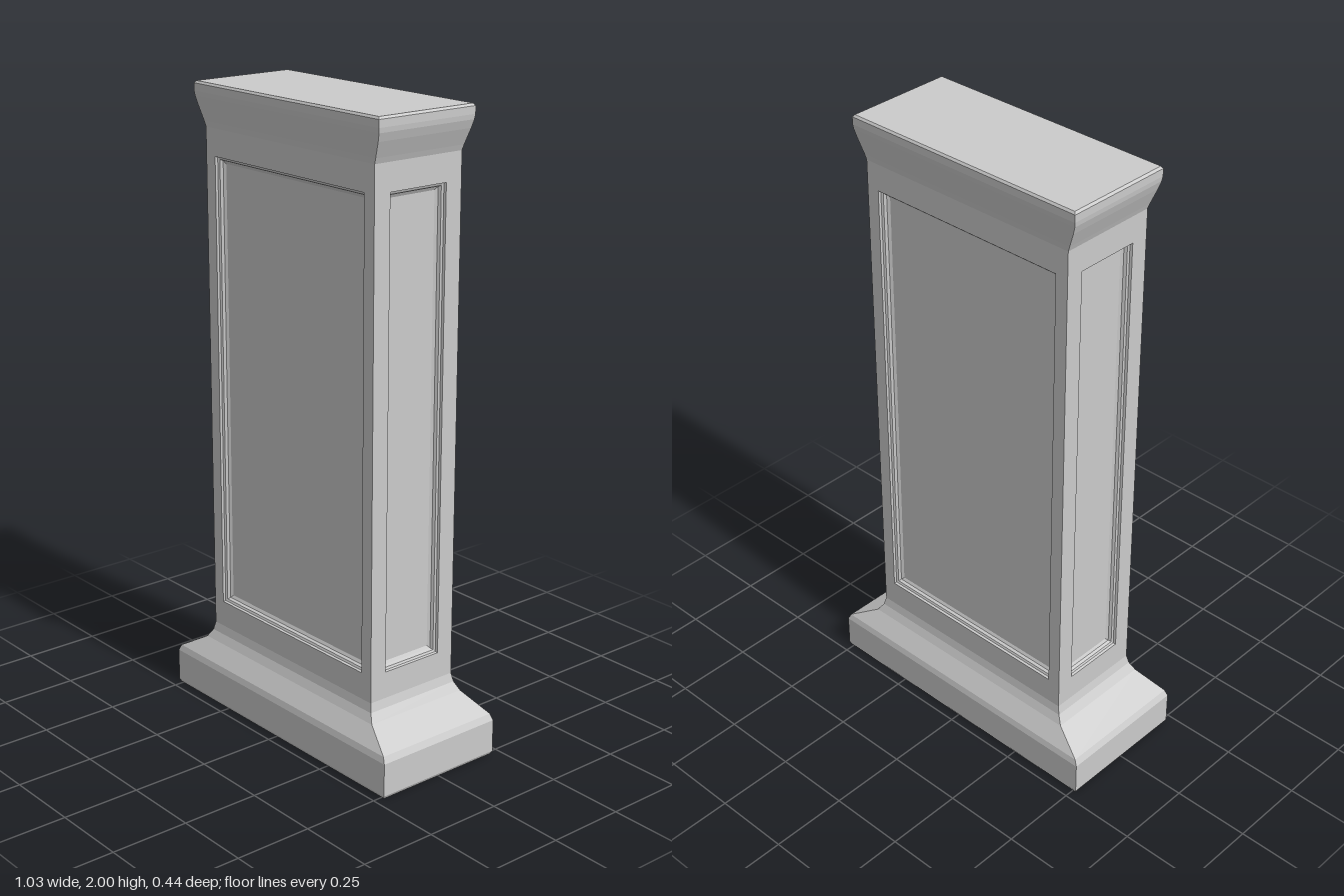
import * as THREE from 'three';

const material = new THREE.MeshStandardMaterial({ color: 0xcccccc, flatShading: true });

// Skin over a stack of rectangles [halfWidth, halfHeight, depth], facing +z.
function loftRects(rings, capStart, capEnd) {
  const positions = [];
  const corners = ([u, v, d]) => [[-u, -v, d], [u, -v, d], [u, v, d], [-u, v, d]];
  const quad = (a, b, c, d) => positions.push(...a, ...b, ...c, ...a, ...c, ...d);
  for (let i = 0; i < rings.length - 1; i++) {
    const a = corners(rings[i]), b = corners(rings[i + 1]);
    for (let k = 0; k < 4; k++) {
      const n = (k + 1) % 4;
      quad(a[k], a[n], b[n], b[k]);
    }
  }
  if (capStart) quad(...corners(rings[0]).reverse());
  if (capEnd) quad(...corners(rings[rings.length - 1]));
  const geometry = new THREE.BufferGeometry();
  geometry.setAttribute('position', new THREE.Float32BufferAttribute(positions, 3));
  geometry.computeVertexNormals();
  return geometry;
}

function addMesh(parent, name, geometry) {
  const mesh = new THREE.Mesh(geometry, material);
  mesh.name = name;
  parent.add(mesh);
  return mesh;
}

const SHAFT = { x: 0.385, z: 0.163, bottom: 0.245, top: 1.865 };

export function createModel() {
  const group = new THREE.Group();
  group.name = 'pedestal';

  // Moulded foot: half width, half depth, height
  const base = [
    [0.51, 0.217, 0], [0.515, 0.222, 0.01], [0.515, 0.222, 0.115],
    [0.505, 0.217, 0.135], [0.41, 0.18, 0.19], [0.392, 0.168, 0.217],
    [SHAFT.x, SHAFT.z, SHAFT.bottom],
  ];
  addMesh(group, 'base', loftRects(base, true, false).rotateX(-Math.PI / 2));

  // Flared cap
  const cap = [
    [SHAFT.x, SHAFT.z, SHAFT.top], [0.391, 0.165, 1.882], [0.41, 0.173, 1.93],
    [0.418, 0.177, 1.955], [0.42, 0.179, 1.97], [0.42, 0.179, 1.993], [0.414, 0.174, 2],
  ];
  addMesh(group, 'cap', loftRects(cap, false, true).rotateX(-Math.PI / 2));

  // Shaft sides, each with a recessed panel framed by a stepped moulding
  const moulding = [[0, 0], [0.002, -0.008], [0.009, -0.011], [0.013, -0.02], [0.022, -0.025]];
  const centreY = (SHAFT.bottom + SHAFT.top) / 2;
  const halfHeight = (SHAFT.top - SHAFT.bottom) / 2;
  const sides = [
    ['frontPanel', SHAFT.x, SHAFT.z, 0.342],
    ['leftPanel', SHAFT.z, SHAFT.x, 0.105],
    ['backPanel', SHAFT.x, SHAFT.z, 0.342],
    ['rightPanel', SHAFT.z, SHAFT.x, 0.105],
  ];
  sides.forEach(([name, halfWidth, distance, panelHalf], i) => {
    const rings = [[halfWidth, halfHeight, distance]];
    for (const [inset, d] of moulding) rings.push([panelHalf - inset, 0.725 - inset, distance + d]);
    const side = addMesh(group, name, loftRects(rings, false, true));
    side.position.y = centreY;
    side.rotation.y = i * Math.PI / 2;
  });

  return group;
}
